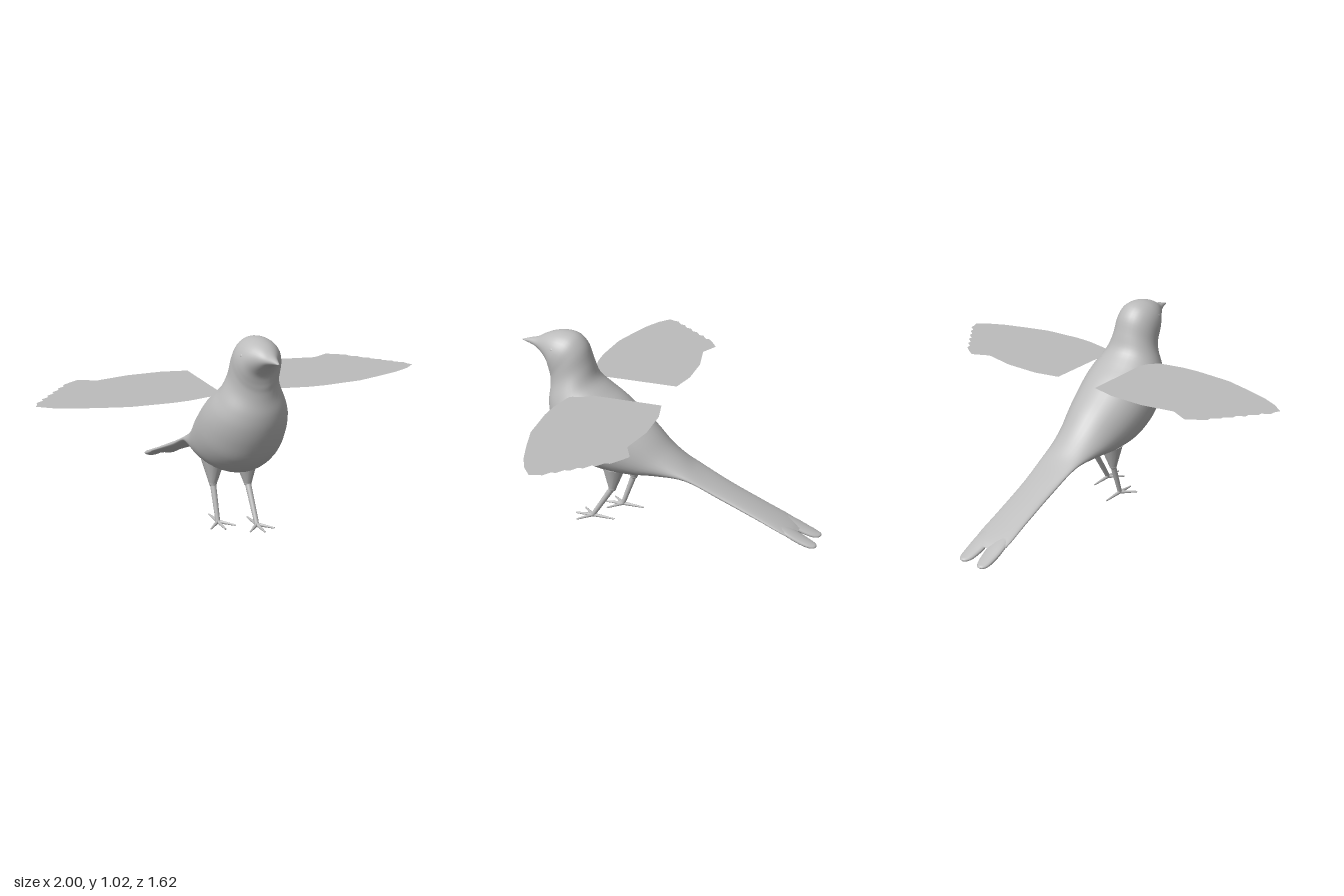
import * as THREE from 'three';

const grey = new THREE.MeshStandardMaterial({ color: 0xbcbcbc });
grey.name = 'plumage grey';
const wingGrey = new THREE.MeshStandardMaterial({ color: 0xbcbcbc, side: THREE.DoubleSide });
wingGrey.name = 'wing grey';

function add(parent, name, geometry, material = grey) {
  const mesh = new THREE.Mesh(geometry, material);
  mesh.name = name;
  parent.add(mesh);
  return mesh;
}

// Smooth skin over elliptical rings: [top z, top y, bottom z, bottom y, half width, centre x]
function loft(rings, steps, sides) {
  const top = new THREE.CatmullRomCurve3(rings.map(r => new THREE.Vector3(r[4], r[1], r[0])));
  const low = new THREE.CatmullRomCurve3(rings.map(r => new THREE.Vector3(r[5], r[3], r[2])));
  const pos = [], idx = [];
  for (let i = 0; i <= steps; i++) {
    const a = top.getPoint(i / steps), b = low.getPoint(i / steps);
    for (let j = 0; j < sides; j++) {
      const t = (j / sides) * Math.PI * 2, s = Math.sin(t) / 2;
      pos.push(b.x + a.x * Math.cos(t), (a.y + b.y) / 2 + (a.y - b.y) * s, (a.z + b.z) / 2 + (a.z - b.z) * s);
      if (i < steps) {
        const p = i * sides + j, q = i * sides + ((j + 1) % sides);
        idx.push(p, p + sides, q, q, p + sides, q + sides);
      }
    }
  }
  const g = new THREE.BufferGeometry();
  g.setAttribute('position', new THREE.Float32BufferAttribute(pos, 3));
  g.setIndex(idx);
  g.computeVertexNormals();
  return g;
}

// Tapered rod between two points
function rod(parent, name, a, b, ra, rb) {
  const from = new THREE.Vector3(...a), to = new THREE.Vector3(...b);
  const dir = to.clone().sub(from);
  const mesh = add(parent, name, new THREE.CylinderGeometry(rb, ra, dir.length(), 12));
  mesh.position.copy(from).add(to).multiplyScalar(0.5);
  mesh.quaternion.setFromUnitVectors(new THREE.Vector3(0, 1, 0), dir.normalize());
  return mesh;
}

export function createModel() {
  const bird = new THREE.Group();
  bird.name = 'bird';
  const cx = 0.01;

  // Beak, head, breast, back and tail base in one skin
  const body = [
    [0.81, 0.945, 0.805, 0.94, 0.004],
    [0.76, 0.96, 0.76, 0.928, 0.02],
    [0.72, 0.97, 0.72, 0.912, 0.038],
    [0.675, 0.995, 0.68, 0.877, 0.066],
    [0.63, 1.012, 0.66, 0.85, 0.088],
    [0.57, 1.022, 0.652, 0.815, 0.106],
    [0.5, 1.01, 0.65, 0.79, 0.115],
    [0.45, 0.96, 0.648, 0.765, 0.118],
    [0.42, 0.87, 0.65, 0.72, 0.128],
    [0.392, 0.79, 0.657, 0.65, 0.16],
    [0.33, 0.735, 0.65, 0.58, 0.19],
    [0.25, 0.68, 0.62, 0.49, 0.207],
    [0.17, 0.615, 0.56, 0.39, 0.208],
    [0.08, 0.54, 0.43, 0.305, 0.19],
    [0, 0.455, 0.25, 0.283, 0.16],
    [-0.07, 0.395, 0.08, 0.3, 0.133],
    [-0.14, 0.345, -0.1, 0.3, 0.11],
    [-0.3, 0.268, -0.3, 0.215, 0.096],
    [-0.5, 0.178, -0.5, 0.133, 0.095],
    [-0.66, 0.104, -0.66, 0.068, 0.094],
    [-0.7, 0.08, -0.7, 0.055, 0.07],
  ];
  add(bird, 'body', loft(body.map(r => [...r, cx]), 90, 36));

  for (const side of [-1, 1]) {
    const label = side > 0 ? 'left' : 'right';

    // Rounded fork of the tail
    const x = cx + side * 0.05;
    add(bird, label + 'TailTip', loft([
      [-0.58, 0.135, -0.58, 0.105, 0.03, x],
      [-0.66, 0.104, -0.66, 0.068, 0.045, x],
      [-0.73, 0.073, -0.73, 0.036, 0.042, x + side * 0.003],
      [-0.78, 0.052, -0.78, 0.024, 0.032, x + side * 0.006],
      [-0.802, 0.043, -0.802, 0.027, 0.017, x + side * 0.008],
      [-0.808, 0.036, -0.808, 0.034, 0.002, x + side * 0.008],
    ], 24, 16));

    // Eye bump
    const eye = add(bird, label + 'Eye', new THREE.SphereGeometry(0.014, 14, 10));
    eye.position.set(cx + side * 0.088, 0.945, 0.605);

    // Flat wing with a ragged outer edge
    const outline = [[0.12, 0.01], [0.25, -0.02], [0.43, -0.02], [0.6, 0.015], [0.69, -0.03], [0.73, -0.005]];
    for (let i = 1; i <= 6; i++) {
      const u = 0.73 + i * 0.04, v = -0.005 + i * 0.05;
      outline.push([u + 0.012, v - 0.012], [u + 0.014, v + 0.012]);
    }
    outline.push([1, 0.34], [0.94, 0.39], [0.86, 0.43], [0.74, 0.47], [0.6, 0.51], [0.4, 0.523],
      [0.31, 0.518], [0.18, 0.49], [0.12, 0.42]);
    const shape = new THREE.Shape(outline.map(p => new THREE.Vector2(side * p[0], p[1])));
    add(bird, label + 'Wing', new THREE.ShapeGeometry(shape).rotateX(Math.PI / 2), wingGrey).position.y = 0.732;

    // Thigh, shank and foot; the left foot stands ahead of the right
    const leg = new THREE.Group();
    leg.name = label + 'Leg';
    bird.add(leg);
    const lx = cx + side * 0.083;
    const hipZ = side > 0 ? 0.295 : 0.235, footZ = side > 0 ? 0.41 : 0.3;
    const knee = [lx, 0.195, hipZ], ankle = [lx, 0.012, footZ];
    rod(leg, 'thigh', [lx - side * 0.005, 0.32, hipZ - 0.01], knee, 0.062, 0.021);
    add(leg, 'knee', new THREE.SphereGeometry(0.021, 12, 8)).position.set(...knee);
    rod(leg, 'shank', knee, ankle, 0.016, 0.012);
    add(leg, 'ankle', new THREE.SphereGeometry(0.012, 10, 8)).position.set(...ankle);
    for (const [dx, dz] of [[-0.066, 0.07], [0, 0.1], [0.066, 0.07], [0, -0.12]]) {
      rod(leg, 'toe', [lx, 0.01, footZ], [lx + dx, 0.005, footZ + dz], 0.01, 0.004);
    }
  }
  return bird;
}
